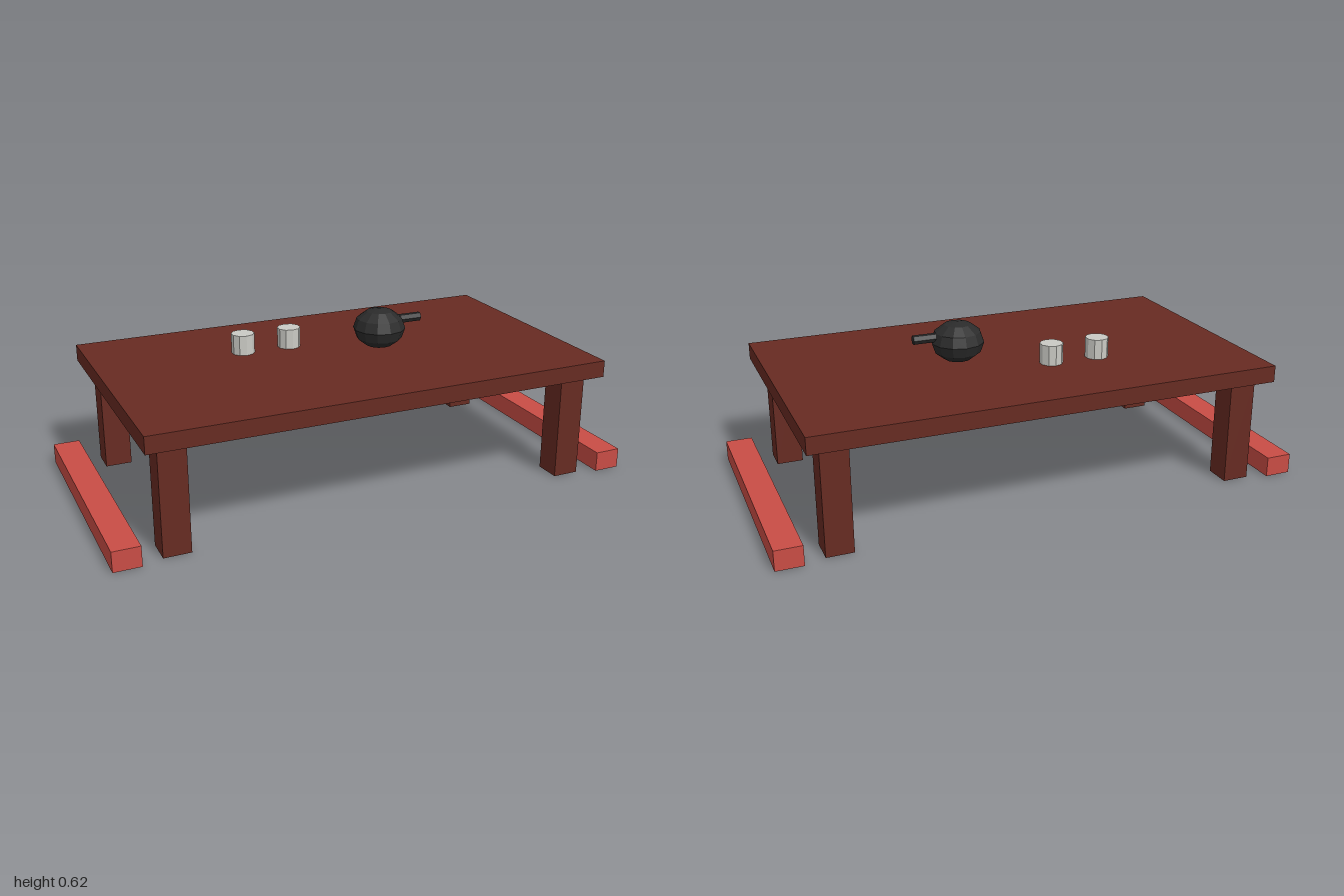
import * as THREE from 'three';

const material = (name, color, flatShading = false) => {
  const m = new THREE.MeshStandardMaterial({ color, flatShading });
  m.name = name;
  return m;
};

export function createModel() {
  const model = new THREE.Group();
  model.name = 'teaTable';
  const wood = material('dark red wood', 0x672b22);
  const red = material('bench red', 0xc94d45);
  const iron = material('black iron', 0x2b2b2b, true);
  const clay = material('pale ceramic', 0xcacac4, true);

  const add = (name, geometry, mat, x, y, z) => {
    const mesh = new THREE.Mesh(geometry, mat);
    mesh.name = name;
    mesh.position.set(x, y, z);
    model.add(mesh);
    return mesh;
  };

  // Table top
  add('tableTop', new THREE.BoxGeometry(1.75, 0.063, 1), wood, 0, 0.4325, 0);

  // Legs and the low seat rail at each end
  for (const sx of [-1, 1]) {
    for (const sz of [-1, 1]) {
      add('leg', new THREE.BoxGeometry(0.1, 0.402, 0.1), wood, sx * 0.775, 0.201, sz * 0.4);
    }
    add('endRail', new THREE.BoxGeometry(0.1, 0.076, 0.95), red, sx * 0.95, 0.038, 0);
  }

  // Teapot: squashed faceted ball with a hexagonal straight spout
  const body = new THREE.SphereGeometry(0.1, 12, 6);
  body.scale(1, 0.77, 1);
  add('teapotBody', body, iron, 0.187, 0.541, 0);
  const spout = new THREE.CylinderGeometry(0.0175, 0.0175, 0.13, 6);
  spout.rotateZ(-Math.PI / 2);
  add('teapotSpout', spout, iron, 0.295, 0.565, 0);

  // Ten-sided cups
  for (const x of [-0.314, -0.127]) {
    add('cup', new THREE.CylinderGeometry(0.044, 0.044, 0.076, 10), clay, x, 0.502, -0.15);
  }
  return model;
}
